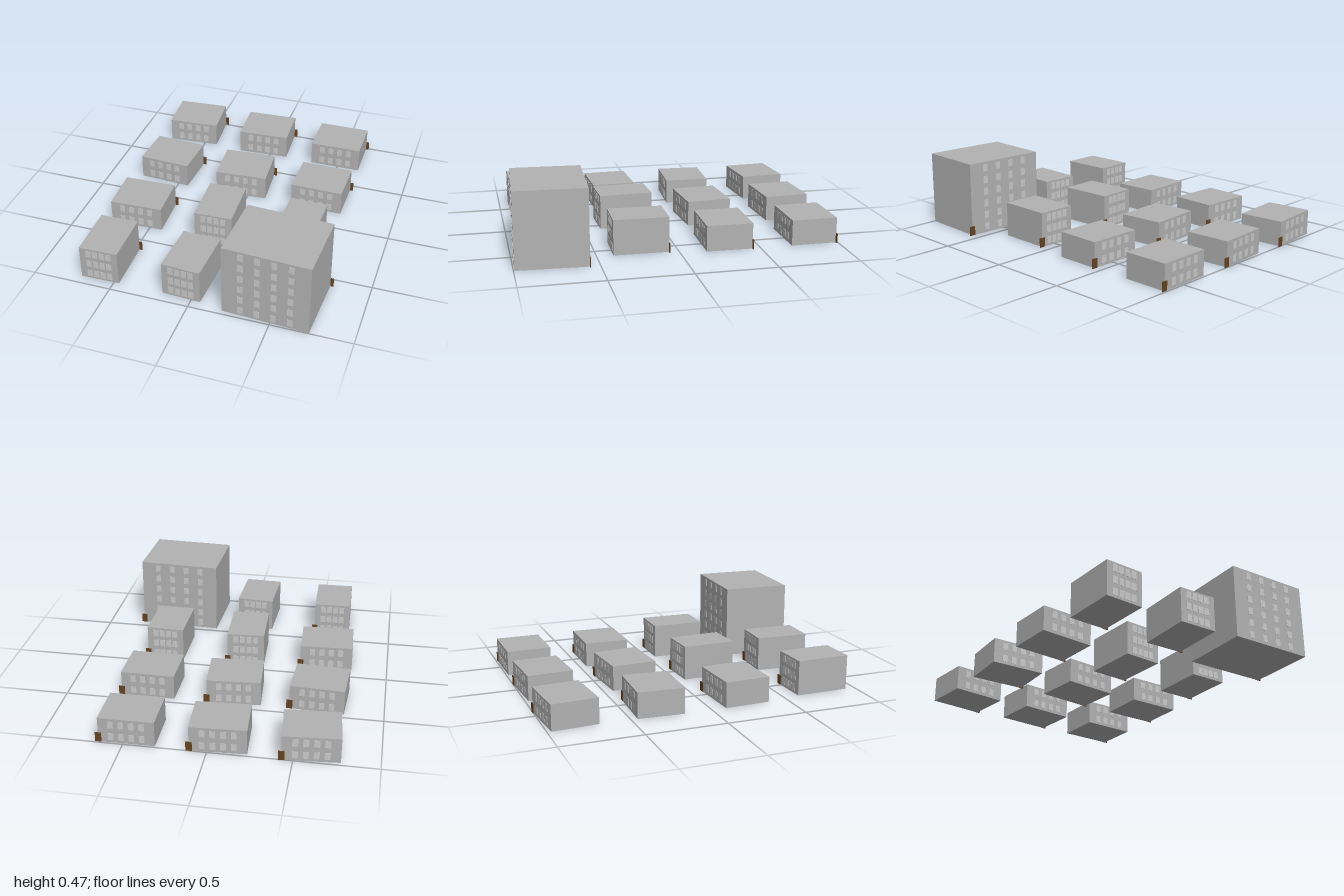
import * as THREE from 'three';

const wall = new THREE.MeshStandardMaterial({ name: 'wall grey', color: 0xb2b2b2 });
const glass = new THREE.MeshStandardMaterial({ name: 'window light grey', color: 0xcacaca });
const wood = new THREE.MeshStandardMaterial({ name: 'door brown', color: 0x654321 });

function box(name, w, h, d, x, y, z, material) {
  const mesh = new THREE.Mesh(new THREE.BoxGeometry(w, h, d), material);
  mesh.name = name;
  mesh.position.set(x, y, z);
  return mesh;
}

// One block: plain walls, four window columns front and back, door at the back left corner
function building({ w, d, h, floors }, x, z, turn) {
  const group = new THREE.Group();
  group.name = 'building';
  group.position.set(x, 0, z);
  group.rotation.y = turn;
  group.add(box('walls', w, h, d, 0, h / 2, 0, wall));

  const spacing = (w - 0.03) / 5;
  const floorHeight = h / floors;
  for (const side of [1, -1]) {
    for (let floor = 0; floor < floors; floor++) {
      for (let col = 0; col < 4; col++) {
        group.add(box('window', 0.034, 0.046, 0.004,
          (col - 1.5) * spacing, (floor + 0.5) * floorHeight, side * d / 2, glass));
      }
    }
  }
  group.add(box('door', 0.038, 0.06, 0.005, w / 2, 0.03, -d / 2, wood));
  return group;
}

export function createModel() {
  const model = new THREE.Group();
  model.name = 'cityBlock';

  const low = { w: 0.34, d: 0.287, h: 0.16, floors: 2 };
  const medium = { w: 0.243, d: 0.34, h: 0.22, floors: 3 };
  const tall = { w: 0.535, d: 0.435, h: 0.47, floors: 6 };

  // Rows from back to front, each with [type, turn] per column
  const columns = [-0.593, -0.057, 0.479];
  const rows = [
    { z: -0.845, lots: [[low, 0.075], [low, 0.052], [low, 0.004]] },
    { z: -0.309, lots: [[low, -0.054], [low, 0.068], [low, -0.015]] },
    { z: 0.227, lots: [[low, 0.042], [medium, 0.038], [medium, -0.018]] },
    { z: 0.766, lots: [[medium, 0.022], [medium, -0.044], [tall, -0.047]] },
  ];
  for (const { z, lots } of rows) {
    lots.forEach(([type, turn], i) => model.add(building(type, columns[i], z, turn)));
  }
  return model;
}
